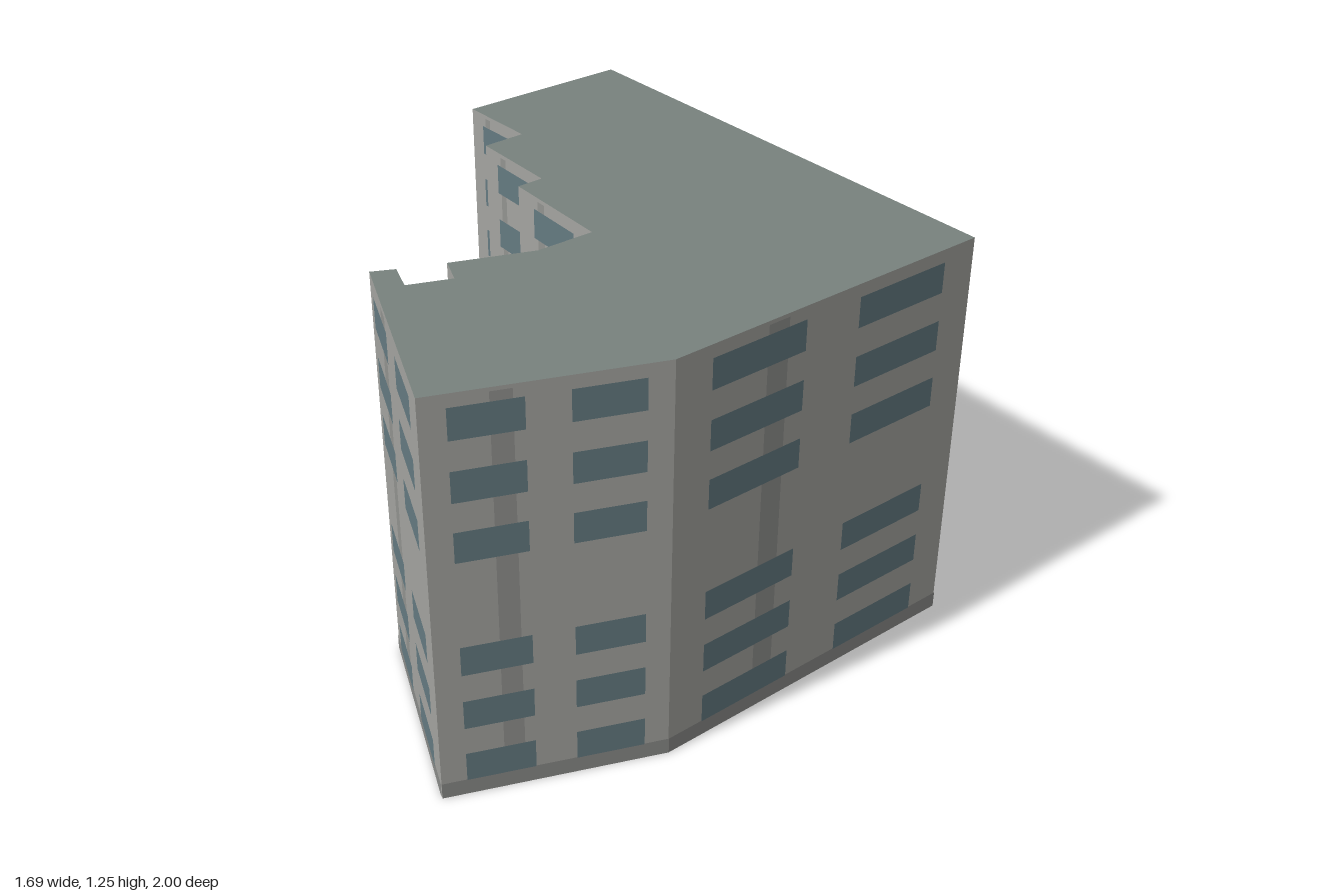
import * as THREE from 'three';
import { mergeGeometries } from 'three/addons/utils/BufferGeometryUtils.js';

const HEIGHT = 1.25;
const BASE = 0.05;

// Footprint corners (x, z); walls run left to right as seen from outside
const OUTLINE = [
  [-0.41, 0.56], [0.085, 1.0], [0.5, 0.52], [0.84, -0.48], [-0.665, -1.0],
  [-0.845, -0.48], [-0.6, -0.4], [-0.64, -0.27], [-0.365, -0.165], [-0.39, -0.085],
  [-0.05, 0.05], [-0.11, 0.22], [-0.27, 0.41], [-0.2, 0.47], [-0.285, 0.57], [-0.36, 0.51],
];
const BACK_WALL = 3;

const material = (color, side = THREE.FrontSide) =>
  new THREE.MeshStandardMaterial({ color, side, flatShading: true });

// Upright panel on the wall a-b, spanning fractions u0..u1 and heights y0..y1
function panel(a, b, u0, u1, y0, y1, offset) {
  const dx = b[0] - a[0], dz = b[1] - a[1];
  const length = Math.hypot(dx, dz);
  const u = (u0 + u1) / 2;
  const g = new THREE.PlaneGeometry((u1 - u0) * length, y1 - y0);
  g.translate(0, 0, offset);
  g.rotateY(Math.atan2(-dz, dx));
  g.translate(a[0] + dx * u, (y0 + y1) / 2, a[1] + dz * u);
  return g;
}

export function createModel() {
  const group = new THREE.Group();
  group.name = 'apartmentBlock';
  const walls = [], bands = [], strips = [], windows = [];

  OUTLINE.forEach((a, i) => {
    const b = OUTLINE[(i + 1) % OUTLINE.length];
    const length = Math.hypot(b[0] - a[0], b[1] - a[1]);
    walls.push(panel(a, b, 0, 1, 0, HEIGHT, 0));
    bands.push(panel(a, b, 0, 1, 0, BASE, 0.002));
    if (length < 0.12) return;

    // Vertical strip, left of the middle
    const half = Math.min(0.07, 0.09 * length) / length / 2;
    strips.push(panel(a, b, 0.32 - half, 0.32 + half, BASE, 1.24, 0.002));

    // Window rows: two columns on long walls, one on short ones
    const columns = length > 0.5 ? [[0.11, 0.41], [0.59, 0.89]] : [[0.23, 0.77]];
    for (let row = 0; row < 7; row++) {
      if (row === 3 && i !== BACK_WALL) continue;
      const y = BASE + row * 0.1785;
      for (const [u0, u1] of columns) windows.push(panel(a, b, u0, u1, y, y + 0.092, 0.004));
    }
  });

  const add = (name, geometry, mat) => {
    const mesh = new THREE.Mesh(geometry, mat);
    mesh.name = name;
    group.add(mesh);
  };
  add('walls', mergeGeometries(walls), material(0xa4a4a0, THREE.DoubleSide));
  add('baseBand', mergeGeometries(bands), material(0x8a8b88));
  add('wallStrips', mergeGeometries(strips), material(0x929390));
  add('windows', mergeGeometries(windows), material(0x647a81));

  // Flat roof
  const shape = new THREE.Shape(OUTLINE.map(([x, z]) => new THREE.Vector2(x, -z)));
  const roof = new THREE.ShapeGeometry(shape).rotateX(-Math.PI / 2).translate(0, HEIGHT, 0);
  add('roof', roof, material(0x78827e, THREE.DoubleSide));
  return group;
}
